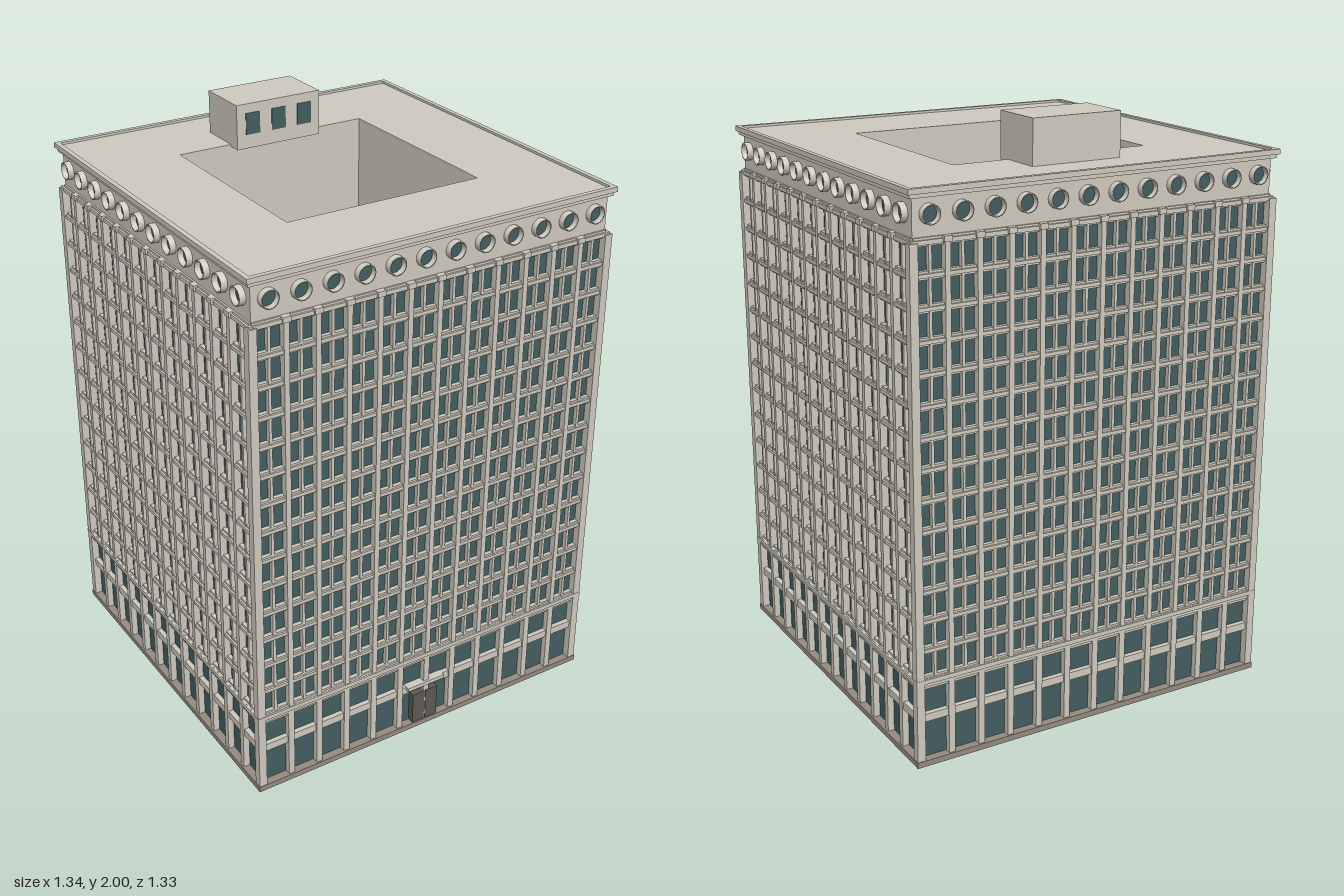
import * as THREE from 'three';
import { mergeGeometries } from 'three/addons/utils/BufferGeometryUtils.js';

const stone = new THREE.MeshStandardMaterial({ color: 0xcfcabf, side: THREE.DoubleSide });
const glass = new THREE.MeshStandardMaterial({ color: 0x435d61, side: THREE.DoubleSide });
const plinthMat = new THREE.MeshStandardMaterial({ color: 0x958c80 });
const doorMat = new THREE.MeshStandardMaterial({ color: 0x5c5a52 });

const HX = 0.65, HZ = 0.642;      // half sizes of the wall line
const CX = 0.355, CZ = 0.348;     // half sizes of the courtyard
const BAYS = 12, FLOORS = 14;
const BASE = 0.3, STOREY = 0.1, TOP = 1.7;

// box spanning x0..x1, y0..y1, z0..z1
function span(x0, x1, y0, y1, z0, z1) {
  return new THREE.BoxGeometry(x1 - x0, y1 - y0, z1 - z0)
    .translate((x0 + x1) / 2, (y0 + y1) / 2, (z0 + z1) / 2);
}

function add(parent, name, geometry, material) {
  const mesh = new THREE.Mesh(Array.isArray(geometry) ? mergeGeometries(geometry) : geometry, material);
  mesh.name = name;
  parent.add(mesh);
  return mesh;
}

// rectangular storey ring with a hole, grown outwards by d
function ring(d, y0, y1, ix = CX, iz = CZ) {
  const rect = (C, x, z) => {
    const p = new C();
    p.moveTo(-x, -z); p.lineTo(x, -z); p.lineTo(x, z); p.lineTo(-x, z); p.closePath();
    return p;
  };
  const shape = rect(THREE.Shape, HX + d, HZ + d);
  shape.holes.push(rect(THREE.Path, ix, iz));
  return new THREE.ExtrudeGeometry(shape, { depth: y1 - y0, bevelEnabled: false })
    .rotateX(-Math.PI / 2).translate(0, y0, 0);
}

// one facade facing +z; z = 0 is the wall line
function facade(half) {
  const g = new THREE.Group();
  const bay = 2 * half / BAYS;
  const piers = [], mullions = [], spandrels = [], ledges = [], groundPiers = [], caps = [], rims = [], discs = [];

  add(g, 'windowGlass', span(-half + 0.011, half - 0.011, 0.02, TOP, -0.014, -0.008), glass);

  for (let i = 0; i <= BAYS; i++) {
    const x = -half + i * bay;
    if (i > 0 && i < BAYS) {
      piers.push(span(x - 0.009, x + 0.009, BASE, TOP, -0.012, 0.016));
      groundPiers.push(span(x - 0.011, x + 0.011, 0.02, 0.285, -0.012, 0.014));
      caps.push(span(x - 0.014, x + 0.014, TOP - 0.005, TOP + 0.013, -0.012, 0.02));
    }
    if (i === BAYS) break;
    const c = x + bay / 2;
    mullions.push(span(c - 0.005, c + 0.005, BASE, TOP, -0.012, 0.008));
    // porthole with a projecting rim
    const profile = [[0.026, -0.01], [0.026, 0.02], [0.031, 0.02], [0.031, -0.01]]
      .map(([r, h]) => new THREE.Vector2(r, h));
    rims.push(new THREE.LatheGeometry(profile, 24).rotateX(Math.PI / 2).translate(c, 1.78, 0));
    discs.push(new THREE.CircleGeometry(0.027, 24).translate(c, 1.78, 0.002));
  }
  for (let f = 0; f <= FLOORS; f++) {
    const y = BASE + f * STOREY;
    spandrels.push(span(-half, half, y - 0.013, y + 0.013, -0.012, 0.006));
    ledges.push(span(-half, half, y - 0.006, y + 0.006, -0.012, 0.013));
  }
  add(g, 'piers', piers, stone);
  add(g, 'pierCaps', caps, stone);
  add(g, 'mullions', mullions, stone);
  add(g, 'spandrels', spandrels, stone);
  add(g, 'floorLedges', ledges, stone);
  add(g, 'groundPiers', groundPiers, stone);
  add(g, 'groundBand', [
    span(-half, half, 0.153, 0.18, -0.012, 0.009),
    span(-half, half, 0.268, 0.29, -0.012, 0.009),
  ], stone);
  add(g, 'portholeRims', rims, stone);
  add(g, 'portholeGlass', discs, glass);
  return g;
}

export function createModel() {
  const model = new THREE.Group();
  model.name = 'officeTower';

  // hollow core, frieze, cornices and roof rim
  add(model, 'core', ring(-0.016, 0.001, 1.72), stone);
  add(model, 'plinth', ring(0.02, 0, 0.02), plinthMat);
  add(model, 'baseCornice', [ring(0.014, 0.278, 0.29, HX - 0.02, HZ - 0.02), ring(0.019, 0.29, 0.305, HX - 0.02, HZ - 0.02)], stone);
  add(model, 'frieze', ring(0, TOP, 1.835), stone);
  add(model, 'friezeMoulding', ring(0.012, TOP - 0.008, TOP + 0.006, HX - 0.02, HZ - 0.02), stone);
  add(model, 'cornice', ring(0.013, 1.83, 1.843), stone);
  add(model, 'roof', ring(0.019, 1.843, 1.852), stone);
  add(model, 'roofRim', ring(0.021, 1.843, 1.86, HX + 0.004, HZ + 0.004), stone);

  // corner posts
  const posts = [];
  for (const sx of [-1, 1]) for (const sz of [-1, 1]) {
    posts.push(new THREE.BoxGeometry(0.028, TOP - 0.02, 0.028)
      .translate(sx * (HX + 0.004), (TOP + 0.02) / 2, sz * (HZ + 0.004)));
  }
  add(model, 'cornerPosts', posts, stone);

  // four facades
  ['front', 'left', 'back', 'right'].forEach((side, k) => {
    const g = facade(k % 2 ? HZ : HX);
    g.name = side + 'Facade';
    g.rotation.y = k * Math.PI / 2;
    const d = k % 2 ? HX : HZ;
    g.position.set(Math.sin(k * Math.PI / 2) * d, 0, Math.cos(k * Math.PI / 2) * d);
    model.add(g);
  });

  // glazed courtyard floor above the open underside
  add(model, 'courtyardFloor', span(-CX, CX, 0.255, 0.27, -CZ, CZ), glass);

  // entrance doors and canopy
  const doors = [];
  for (const s of [-1, 1]) doors.push(span(-0.005 + s * 0.026 - 0.024, -0.005 + s * 0.026 + 0.024, 0.02, 0.14, HZ - 0.012, HZ + 0.016));
  add(model, 'entranceDoors', doors, doorMat);
  add(model, 'entranceCanopy', span(-0.08, 0.07, 0.168, 0.182, HZ - 0.01, HZ + 0.022), stone);

  // rooftop plant room
  add(model, 'plantRoom', span(-0.162, 0.16, 1.845, 2, -0.497, -0.302), stone);
  add(model, 'plantRoomWindows', [-0.1, 0, 0.1].map(x =>
    span(x - 0.028, x + 0.026, 1.893, 1.968, -0.31, -0.3)), glass);

  return model;
}
